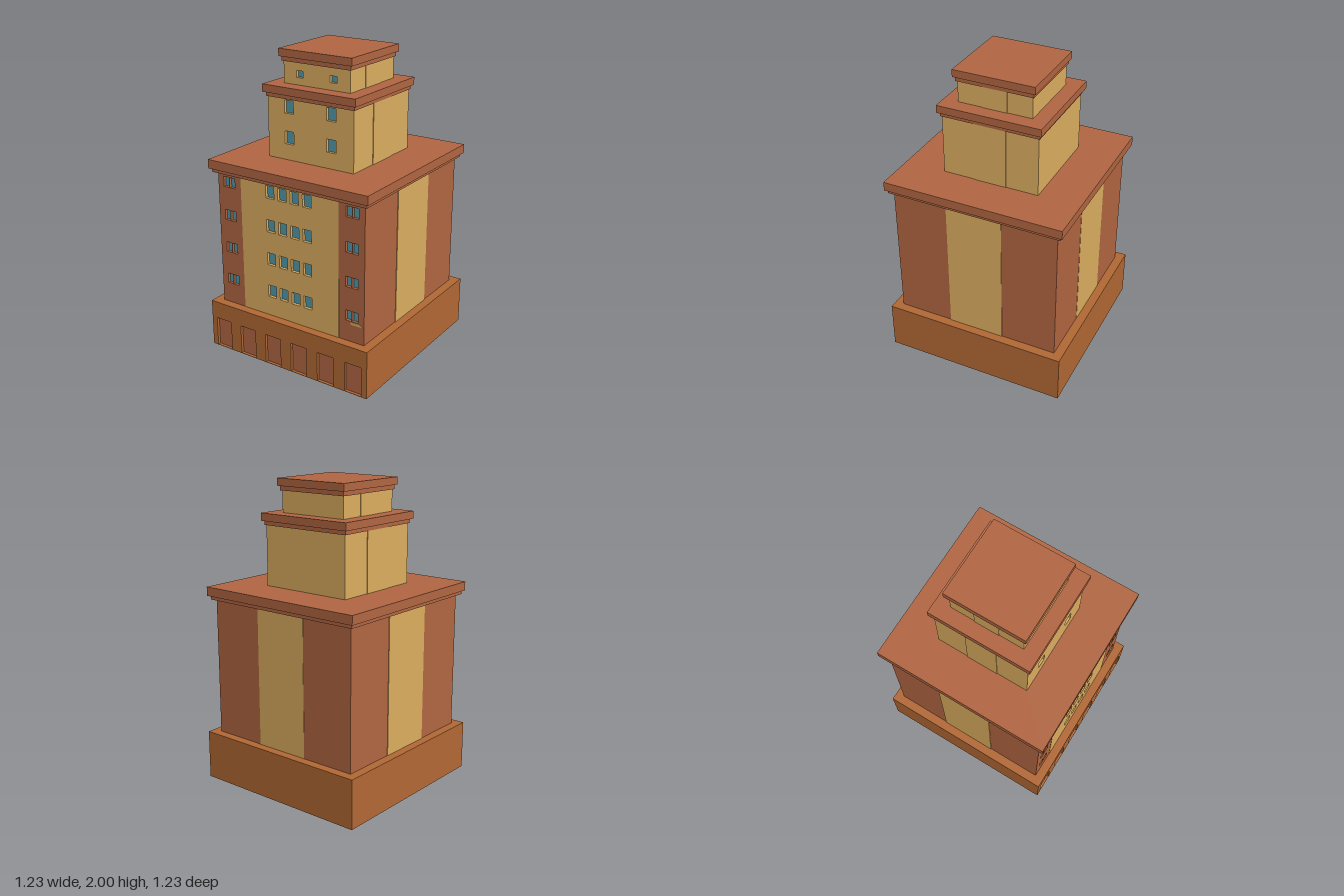
import * as THREE from 'three';

const mat = (color) => new THREE.MeshStandardMaterial({ color });
const brick = mat(0xb26642), sand = mat(0xdcae60), clay = mat(0xb26834), glass = mat(0x5099aa);
const RECESS = 0.022;

export function createModel() {
  const model = new THREE.Group();
  model.name = 'tower';

  // Box given by its extents
  function box(name, x0, x1, y0, y1, z0, z1, material) {
    const mesh = new THREE.Mesh(new THREE.BoxGeometry(x1 - x0, y1 - y0, z1 - z0), material);
    mesh.position.set((x0 + x1) / 2, (y0 + y1) / 2, (z0 + z1) / 2);
    mesh.name = name;
    model.add(mesh);
  }
  const block = (name, r, y0, y1, material) => box(name, -r, r, y0, y1, -r, r, material);

  // Front wall slab with recessed openings [centreX, centreY, width, height]
  function frontWall(name, x0, x1, y0, y1, z, material, openings, fillName, fill) {
    const shape = new THREE.Shape();
    shape.moveTo(x0, y0).lineTo(x1, y0).lineTo(x1, y1).lineTo(x0, y1).closePath();
    for (const [cx, cy, w, h] of openings) {
      const a = w / 2, b = h / 2;
      const hole = new THREE.Path();
      hole.moveTo(cx - a, cy - b).lineTo(cx - a, cy + b).lineTo(cx + a, cy + b).lineTo(cx + a, cy - b).closePath();
      shape.holes.push(hole);
      box(fillName, cx - a, cx + a, cy - b, cy + b, z - RECESS - 0.01, z - RECESS + 0.002, fill);
    }
    const wall = new THREE.Mesh(new THREE.ExtrudeGeometry(shape, { depth: RECESS, bevelEnabled: false }), material);
    wall.position.z = z - RECESS;
    wall.name = name;
    model.add(wall);
  }

  // Solid body behind a front wall slab
  const body = (name, r, y0, y1, material) => box(name, -r, r, y0, y1, -r, r - RECESS, material);

  // Raised strips down the middle of both sides
  function sideStrips(r, half, y0, y1) {
    for (const s of [-1, 1]) {
      const a = s * (r - 0.01), b = s * (r + 0.004);
      box('sideStrip', Math.min(a, b), Math.max(a, b), y0, y1, -half, half, sand);
    }
  }

  // Two-step cornice
  function cornice(r0, r1, y0, y1, y2) {
    block('corniceLower', r0, y0, y1, brick);
    block('corniceUpper', r1, y1, y2, brick);
  }

  // Base with six recessed doorways
  const doors = [];
  for (let i = 0; i < 6; i++) doors.push([(i - 2.5) * 0.205, 0.104, 0.122, 0.202]);
  body('base', 0.613, 0, 0.323, clay);
  frontWall('baseFront', -0.613, 0.613, 0, 0.323, 0.613, clay, doors, 'door', brick);

  // Main storeys: broad centre panel between two corner bays
  const R = 0.554, Y0 = 0.323, Y1 = 1.228;
  const centre = [], bay = [];
  for (let row = 0; row < 4; row++) {
    const y = 0.495 + row * 0.225;
    for (let i = 0; i < 4; i++) centre.push([(i - 1.5) * 0.093, y, 0.063, 0.082]);
    for (const x of [0.441, 0.488]) bay.push([x, y, 0.043, 0.068]);
  }
  body('mainBody', R, Y0, Y1, brick);
  frontWall('centrePanel', -0.37, 0.37, Y0, Y1, R + 0.002, sand, centre, 'window', glass);
  frontWall('leftBay', 0.37, R, Y0, Y1, R, brick, bay, 'window', glass);
  frontWall('rightBay', -R, -0.37, Y0, Y1, R, brick, bay.map(([x, ...o]) => [-x, ...o]), 'window', glass);
  sideStrips(R, 0.187, Y0, Y1);
  box('backStrip', -0.187, 0.187, Y0, Y1, -R - 0.002, -R + 0.01, sand);
  cornice(0.58, 0.597, Y1, 1.253, 1.312);

  // Small slanted ledge under one bay window
  const ledgeShape = new THREE.Shape();
  ledgeShape.moveTo(0.46, 0.44).lineTo(0.55, 0.44).lineTo(0.52, 0.458).lineTo(0.455, 0.458).closePath();
  const ledge = new THREE.Mesh(new THREE.ExtrudeGeometry(ledgeShape, { depth: 0.006, bevelEnabled: false }), sand);
  ledge.position.z = R - 0.003;
  ledge.name = 'ledge';
  model.add(ledge);

  // Second tier
  const upper = [];
  for (const x of [-0.158, 0.158]) for (const y of [1.457, 1.655]) upper.push([x, y, 0.068, 0.083]);
  body('secondTier', 0.321, 1.312, 1.705, sand);
  frontWall('secondTierFront', -0.321, 0.321, 1.312, 1.705, 0.321, sand, upper, 'window', glass);
  sideStrips(0.321, 0.107, 1.312, 1.705);
  cornice(0.329, 0.345, 1.705, 1.732, 1.782);

  // Top tier
  const top = [-0.125, 0.125].map((x) => [x, 1.85, 0.05, 0.043]);
  body('topTier', 0.247, 1.782, 1.922, sand);
  frontWall('topTierFront', -0.247, 0.247, 1.782, 1.922, 0.247, sand, top, 'window', glass);
  sideStrips(0.247, 0.083, 1.782, 1.922);
  cornice(0.257, 0.27, 1.922, 1.951, 2);

  return model;
}
